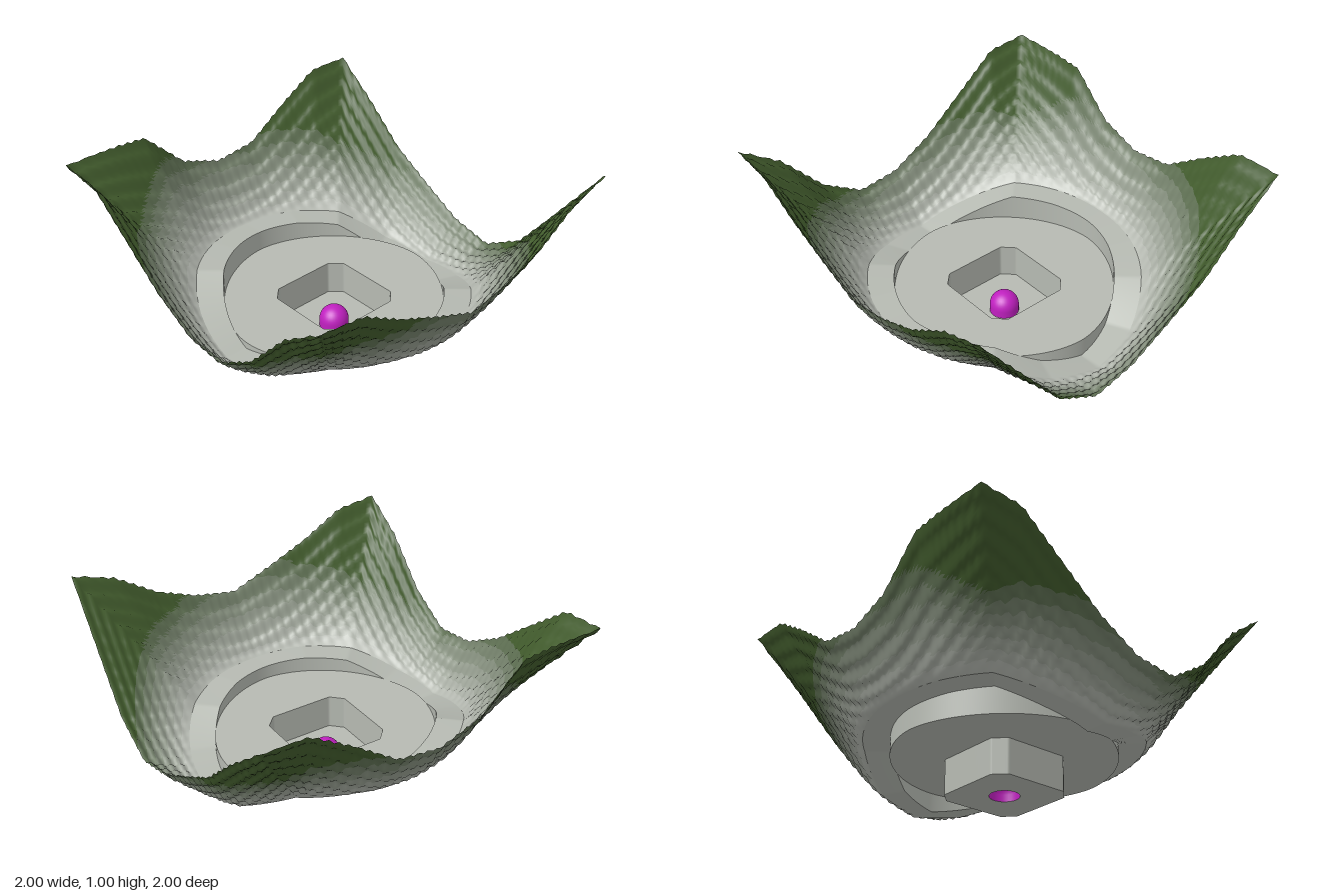
import * as THREE from 'three';

const SEG = 320, BANDS = 8, STEPS = 46;
const GREY = new THREE.Color(0xb6bab2), GREEN = new THREE.Color(0x425c2d);

// Heights along the four outer edges, evenly spaced from -1 to 1
const EDGE = {
  back: [1, 1, 0.98, 0.74, 0.65, 0.68, 0.85, 1, 1],
  front: [1, 0.97, 0.83, 0.72, 0.62, 0.665, 0.76, 0.92, 1],
  left: [1, 0.8, 0.57, 0.42, 0.28, 0.22, 0.36, 0.68, 1],
  right: [1, 0.98, 0.78, 0.58, 0.44, 0.41, 0.56, 0.83, 1],
};
// Ledge heights every 22.5 degrees, starting at +x and turning towards +z
const LEDGE = [0.09, 0.15, 0.26, 0.28, 0.28, 0.29, 0.28, 0.2,
  0.16, 0.25, 0.35, 0.34, 0.32, 0.31, 0.28, 0.14];
const LEDGE_RADIUS = 0.76;

const lerp = THREE.MathUtils.lerp;
const sample = (list, u) => {
  const i = Math.min(Math.floor(u), list.length - 2);
  return lerp(list[i], list[i + 1], u - i);
};
const ledgeHeight = (a) => sample([...LEDGE, LEDGE[0]], (a / (Math.PI * 2)) * LEDGE.length);
const squareRadius = (a) => 1 / Math.max(Math.abs(Math.cos(a)), Math.abs(Math.sin(a)));
const edgeHeight = (a) => {
  const r = squareRadius(a), x = r * Math.cos(a), z = r * Math.sin(a);
  const side = Math.abs(x) >= Math.abs(z);
  const list = side ? (x > 0 ? EDGE.left : EDGE.right) : (z > 0 ? EDGE.front : EDGE.back);
  return sample(list, THREE.MathUtils.clamp(((side ? z : x) + 1) * 4, 0, 8));
};

// Outlines: square pit with cut corners, and a slightly diamond-shaped plate
const pit = (a) =>
  Math.min(0.255 * squareRadius(a), 0.445 / (Math.abs(Math.cos(a)) + Math.abs(Math.sin(a))));
const plate = (a) =>
  0.635 / (Math.abs(Math.cos(a)) ** 1.8 + Math.abs(Math.sin(a)) ** 1.8) ** (1 / 1.8);

// Surface through closed rings; each ring maps an angle to [radius, height]
function ringGeometry(rings) {
  const pos = [], index = [];
  for (const ring of rings) {
    for (let j = 0; j < SEG; j++) {
      const a = (j / SEG) * Math.PI * 2, [r, y] = ring(a);
      pos.push(r * Math.cos(a), y, r * Math.sin(a));
    }
  }
  for (let i = 0; i < rings.length - 1; i++) {
    for (let j = 0; j < SEG; j++) {
      const k = (j + 1) % SEG;
      const a = i * SEG + j, b = i * SEG + k, c = a + SEG, d = b + SEG;
      index.push(a, b, c, b, d, c);
    }
  }
  const geometry = new THREE.BufferGeometry();
  geometry.setAttribute('position', new THREE.Float32BufferAttribute(pos, 3));
  geometry.setIndex(index);
  geometry.computeVertexNormals();
  return geometry;
}

function makeMesh(name, geometry, color) {
  const material = new THREE.MeshStandardMaterial({ color, side: THREE.DoubleSide });
  const mesh = new THREE.Mesh(geometry, material);
  mesh.name = name;
  return mesh;
}

// Rippled slopes rising from the ledge to the square rim
function makeSlopes() {
  const rings = [];
  for (let i = 0; i <= STEPS; i++) {
    const t = i / STEPS;
    rings.push((a) => {
      const rim = squareRadius(a), r = lerp(LEDGE_RADIUS, rim, t);
      const x = r * Math.cos(a), z = r * Math.sin(a);
      const ripple = 0.007 * Math.min(1, t * 5) * (Math.sin(x * 110) + Math.sin(z * 110));
      // Hollow profile towards the sides, straight towards the corners
      const bend = lerp(1.3, 1, (rim - 1) / (Math.SQRT2 - 1));
      return [r, Math.min(1, lerp(ledgeHeight(a), edgeHeight(a), t ** bend) + ripple)];
    });
  }
  const whole = ringGeometry(rings);
  const pos = whole.getAttribute('position'), all = whole.index.array;
  const bands = Array.from({ length: BANDS }, () => []);
  for (let i = 0; i < all.length; i += 3) {
    const r = Math.hypot(pos.getX(all[i]), pos.getZ(all[i]));
    const b = Math.floor(((r - LEDGE_RADIUS) / 0.32) * BANDS);
    bands[THREE.MathUtils.clamp(b, 0, BANDS - 1)].push(all[i], all[i + 1], all[i + 2]);
  }
  // Colour bands share the vertices and normals, so the slope stays smooth
  const group = new THREE.Group();
  group.name = 'slopes';
  bands.forEach((index, b) => {
    const geometry = new THREE.BufferGeometry();
    geometry.setAttribute('position', pos);
    geometry.setAttribute('normal', whole.getAttribute('normal'));
    geometry.setIndex(index);
    const color = GREY.clone().lerp(GREEN, b / (BANDS - 1));
    group.add(makeMesh('slopeBand' + (b + 1), geometry, color));
  });
  return group;
}

export function createModel() {
  const model = new THREE.Group();
  model.name = 'valley';

  // Flat floors, steps and ledge, from the centre outwards
  const parts = {
    pitFloor: [(a) => [0.083, 0], (a) => [pit(a), 0]],
    pitWall: [(a) => [pit(a), 0], (a) => [pit(a), 0.2]],
    plate: [(a) => [pit(a), 0.2], (a) => [plate(a), 0.2]],
    plateWall: [(a) => [plate(a), 0.2], (a) => [plate(a), ledgeHeight(a)]],
    ledge: [(a) => [plate(a), ledgeHeight(a)], (a) => [LEDGE_RADIUS, ledgeHeight(a)]],
  };
  for (const [name, rings] of Object.entries(parts)) {
    model.add(makeMesh(name, ringGeometry(rings), GREY));
  }

  // Hollow dome in the middle of the pit
  const profile = [new THREE.Vector2(0.083, 0)];
  for (let i = 0; i <= 10; i++) {
    const a = (i / 10) * Math.PI / 2;
    profile.push(new THREE.Vector2(0.083 * Math.cos(a), 0.04 + 0.083 * Math.sin(a)));
  }
  model.add(makeMesh('dome', new THREE.LatheGeometry(profile, 32), 0xc020c0));

  model.add(makeSlopes());
  return model;
}
